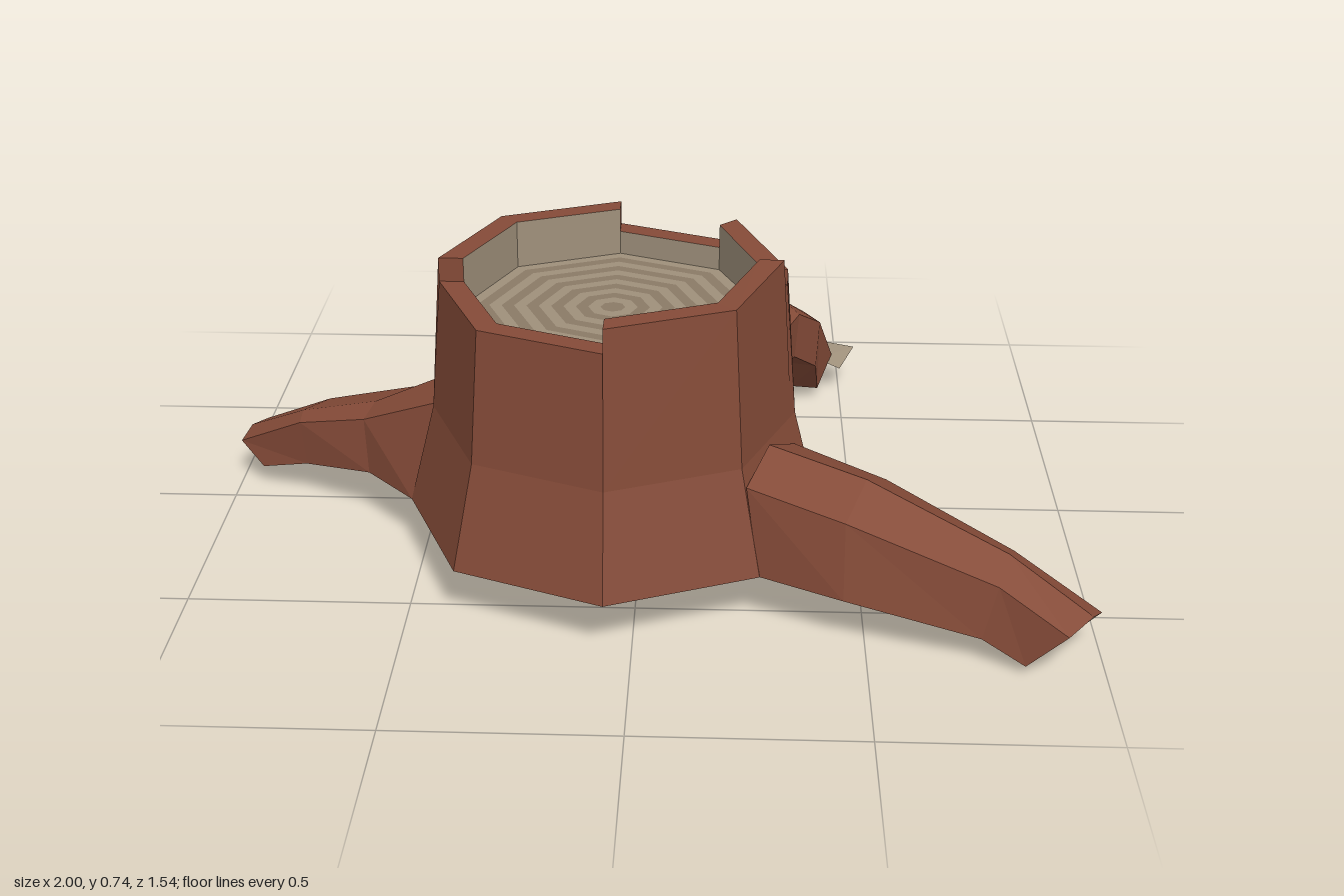
import * as THREE from 'three';

const CX = -0.06, CZ = 0.23, FLOOR = 0.61, BASE = 0.12;
const bark = new THREE.MeshStandardMaterial({ color: 0x854b38, flatShading: true, side: THREE.DoubleSide });
const wood = new THREE.MeshStandardMaterial({ color: 0x9f907b, flatShading: true, side: THREE.DoubleSide });
const ringWood = new THREE.MeshStandardMaterial({ color: 0x8b7a66, flatShading: true, side: THREE.DoubleSide });

// mesh from a list of polygons, each fanned into triangles
function polyMesh(name, polys, material) {
  const pos = [];
  for (const p of polys) {
    for (let i = 1; i < p.length - 1; i++) pos.push(...p[0], ...p[i], ...p[i + 1]);
  }
  const geo = new THREE.BufferGeometry();
  geo.setAttribute('position', new THREE.Float32BufferAttribute(pos, 3));
  geo.computeVertexNormals();
  const mesh = new THREE.Mesh(geo, material);
  mesh.name = name;
  return mesh;
}

// point on the octagon outline; k counts corners, fractions lie along an edge
function oct(k, r, y) {
  const i = Math.floor(k), t = k - i;
  const a = i * Math.PI / 4, b = (i + 1) * Math.PI / 4;
  return [
    CX + r * (Math.cos(a) * (1 - t) + Math.cos(b) * t), y,
    CZ + r * (Math.sin(a) * (1 - t) + Math.sin(b) * t),
  ];
}

function buildTrunk() {
  const group = new THREE.Group();
  group.name = 'trunk';
  // rim pieces: start corner, end corner, start height, end height
  const rim = [
    [0, 0.08, 0.67, 0.67], [0.08, 1, 0.735, 0.72], [1, 2, 0.72, 0.72],
    [2, 3, 0.665, 0.665], [3, 4, 0.665, 0.665], [4, 5, 0.72, 0.72],
    [5, 6, 0.72, 0.72], [6, 7, 0.665, 0.665], [7, 8, 0.72, 0.705],
  ];
  const rOut = 0.385, rIn = 0.33;
  const outer = [], inner = [], bottom = [];
  for (const [a, b, ha, hb] of rim) {
    const A = [oct(a, 0.47, BASE), oct(a, 0.41, 0.36), oct(a, rOut, ha)];
    const B = [oct(b, 0.47, BASE), oct(b, 0.41, 0.36), oct(b, rOut, hb)];
    for (let i = 0; i < 2; i++) outer.push([B[i], A[i], A[i + 1], B[i + 1]]);
    outer.push([B[2], A[2], oct(a, rIn, ha), oct(b, rIn, hb)]);
    // end faces of the raised pieces
    for (const [k, h] of [[a, ha], [b, hb]]) {
      if (h > 0.67) outer.push([oct(k, rIn, 0.665), oct(k, rOut, 0.665), oct(k, rOut, h), oct(k, rIn, h)]);
    }
    inner.push([oct(a, rIn, FLOOR), oct(b, rIn, FLOOR), oct(b, rIn, hb), oct(a, rIn, ha)]);
    bottom.push([[CX, BASE, CZ], A[0], B[0]]);
  }
  group.add(polyMesh('barkWall', outer, bark));
  group.add(polyMesh('innerWall', inner, wood));
  group.add(polyMesh('underside', bottom, wood));

  // cut face with growth rings
  const n = 12;
  for (let i = 0; i < n; i++) {
    const geo = new THREE.RingGeometry(rIn * i / n, rIn * (i + 1) / n, 8);
    geo.rotateX(-Math.PI / 2);
    const ring = new THREE.Mesh(geo, i % 2 ? wood : ringWood);
    ring.name = 'growthRing' + (i + 1);
    ring.position.set(CX, FLOOR, CZ);
    group.add(ring);
  }
  return group;
}

// root lofted through five-sided sections, the last edge being its underside
function buildRoot(name, sections, underMaterial, capMaterial) {
  const group = new THREE.Group();
  group.name = name;
  const sides = [], under = [];
  for (let s = 0; s < sections.length - 1; s++) {
    const a = sections[s], b = sections[s + 1];
    for (let i = 0; i < 5; i++) {
      const j = (i + 1) % 5;
      (i === 4 ? under : sides).push([a[i], a[j], b[j], b[i]]);
    }
  }
  group.add(polyMesh(name + 'Bark', sides, bark));
  group.add(polyMesh(name + 'Underside', under, underMaterial));
  group.add(polyMesh(name + 'End', [sections[sections.length - 1]], capMaterial));
  return group;
}

export function createModel() {
  const model = new THREE.Group();
  model.name = 'treeStump';
  model.add(buildTrunk());

  model.add(buildRoot('frontRoot', [
    [[0.41, 0.12, 0.23], [0.35, 0.30, 0.27], [0.29, 0.36, 0.40], [0.24, 0.32, 0.53], [0.27, 0.12, 0.56]],
    [[0.55, 0.10, 0.38], [0.55, 0.27, 0.38], [0.50, 0.32, 0.48], [0.45, 0.28, 0.61], [0.45, 0.11, 0.64]],
    [[0.80, 0.09, 0.53], [0.82, 0.18, 0.53], [0.80, 0.21, 0.60], [0.77, 0.18, 0.69], [0.74, 0.06, 0.70]],
    [[0.935, 0, 0.59], [1.0, 0.09, 0.63], [0.97, 0.12, 0.70], [0.91, 0.11, 0.77], [0.83, 0.02, 0.74]],
  ], wood, wood));

  model.add(buildRoot('rightRoot', [
    [[-0.53, 0.12, 0.23], [-0.46, 0.36, 0.21], [-0.44, 0.37, 0.06], [-0.35, 0.34, -0.05], [-0.39, 0.12, -0.10]],
    [[-0.65, 0.12, 0.10], [-0.66, 0.25, 0.08], [-0.64, 0.27, 0.02], [-0.56, 0.26, -0.09], [-0.56, 0.12, -0.10]],
    [[-0.82, 0.09, 0.00], [-0.83, 0.20, 0.00], [-0.83, 0.21, -0.05], [-0.78, 0.20, -0.14], [-0.77, 0.10, -0.14]],
    [[-0.94, 0.05, -0.06], [-1.0, 0.10, -0.10], [-0.98, 0.125, -0.14], [-0.95, 0.12, -0.19], [-0.93, 0.06, -0.16]],
  ], wood, wood));

  model.add(buildRoot('backRoot', [
    [[0.14, 0.12, -0.14], [0.13, 0.28, -0.11], [0.19, 0.31, -0.10], [0.24, 0.29, -0.06], [0.28, 0.12, -0.08]],
    [[0.20, 0.18, -0.28], [0.20, 0.31, -0.28], [0.25, 0.335, -0.27], [0.30, 0.30, -0.25], [0.29, 0.18, -0.26]],
    [[0.29, 0.20, -0.46], [0.30, 0.32, -0.50], [0.34, 0.335, -0.49], [0.38, 0.31, -0.46], [0.37, 0.20, -0.44]],
    [[0.36, 0.13, -0.56], [0.36, 0.24, -0.62], [0.40, 0.25, -0.62], [0.44, 0.23, -0.60], [0.43, 0.13, -0.54]],
    [[0.37, 0.03, -0.63], [0.40, 0.09, -0.72], [0.44, 0.10, -0.725], [0.48, 0.09, -0.71], [0.44, 0.03, -0.62]],
  ], bark, bark));

  // loose wood chip at the tip of the back root
  model.add(polyMesh('rootChip', [
    [[0.44, 0.08, -0.70], [0.50, 0.07, -0.66], [0.54, 0.10, -0.74], [0.47, 0.10, -0.77]],
  ], wood));
  return model;
}
